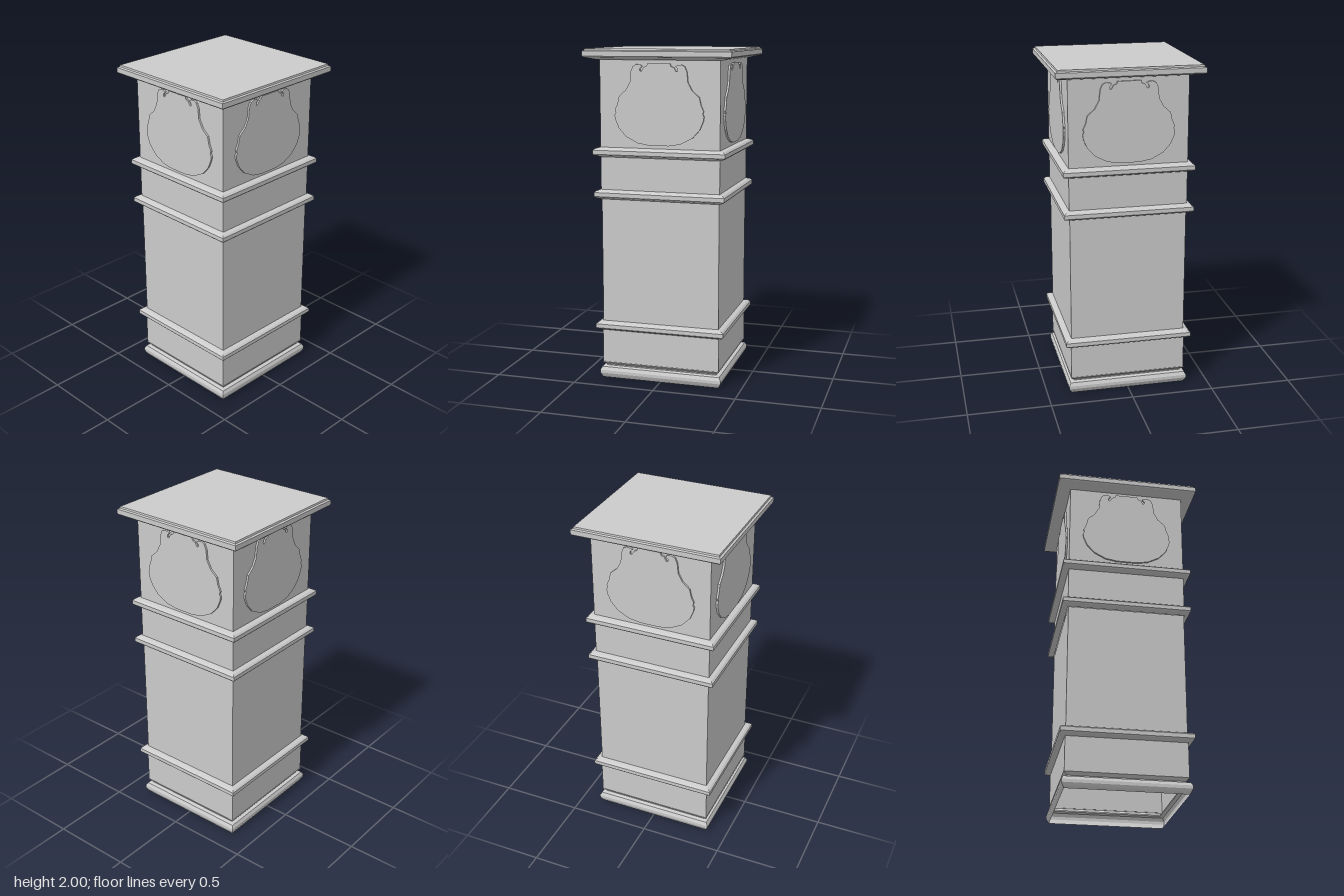
import * as THREE from 'three';

const DEPTH = 1.031; // the pillar is slightly deeper than wide
const WALL = 0.352;
const material = new THREE.MeshStandardMaterial({ color: 0xcccccc, flatShading: true, side: THREE.DoubleSide });

// Four-sided hollow shell from a [halfWidth, y] profile, listed bottom to top
function squareShell(name, profile) {
  const points = profile.map(([w, y]) => new THREE.Vector2(w * Math.SQRT2, y));
  const geometry = new THREE.LatheGeometry(points, 4, Math.PI / 4).toNonIndexed();
  geometry.scale(1, 1, DEPTH);
  geometry.computeVertexNormals();
  const mesh = new THREE.Mesh(geometry, material);
  mesh.name = name;
  return mesh;
}

// Chamfered band running around the shaft
function band(name, y, w) {
  return squareShell(name, [
    [WALL, y], [w - 0.005, y + 0.012], [w, y + 0.018], [w, y + 0.042], [w - 0.012, y + 0.052], [WALL - 0.003, y + 0.058],
  ]);
}

// Raised gourd-shaped panel, half outline mirrored about x = 0
function panelGeometry() {
  const half = [
    [0.068, 1.915], [0.073, 1.9], [0.09, 1.894], [0.104, 1.87], [0.113, 1.872], [0.114, 1.885],
    [0.1, 1.9], [0.112, 1.908], [0.135, 1.91], [0.155, 1.9], [0.168, 1.87], [0.174, 1.81],
    [0.2, 1.762], [0.242, 1.725], [0.252, 1.68], [0.268, 1.645], [0.262, 1.632], [0.27, 1.615],
    [0.266, 1.59], [0.245, 1.54], [0.2, 1.49], [0.13, 1.454], [0.06, 1.442],
  ];
  const mirrored = half.map(([x, y]) => [-x, y]).reverse();
  const shape = new THREE.Shape([...half, ...mirrored].map(([x, y]) => new THREE.Vector2(x, y)));
  return new THREE.ExtrudeGeometry(shape, { depth: 0.011, bevelEnabled: false });
}

export function createModel() {
  const pillar = new THREE.Group();
  pillar.name = 'pillar';

  // Base moulding and recessed neck
  pillar.add(squareShell('baseMoulding', [
    [0.352, 0], [0.36, 0.014], [0.368, 0.03], [0.368, 0.048], [0.358, 0.068], [0.335, 0.073],
    [0.335, 0.08], [WALL + 0.003, 0.097], [WALL + 0.003, 0.1], [WALL, 0.1],
  ]));

  // Shaft sections between the bands
  const sections = [
    ['plinth', 0.1, 0.303], ['shaft', 0.361, 1.112], ['collar', 1.17, 1.365], ['head', 1.423, 1.935],
  ];
  for (const [name, y0, y1] of sections) {
    const w = name === 'shaft' ? WALL - 0.003 : WALL;
    pillar.add(squareShell(name, [[w, y0], [w, y1]]));
  }

  // Bands
  pillar.add(band('lowerBand', 0.303, 0.385));
  pillar.add(band('middleBand', 1.112, 0.386));
  pillar.add(band('upperBand', 1.365, 0.389));

  // Overhanging cap with a closed top
  pillar.add(squareShell('cap', [
    [WALL, 1.935], [0.365, 1.935], [0.425, 1.95], [0.431, 1.956], [0.431, 1.985], [0.42, 1.99], [0.418, 2], [0, 2],
  ]));

  // One raised panel on each side of the head
  const panel = panelGeometry();
  for (let i = 0; i < 4; i++) {
    const mesh = new THREE.Mesh(panel, material);
    const angle = (i * Math.PI) / 2;
    const reach = i % 2 ? WALL : WALL * DEPTH;
    mesh.name = ['frontPanel', 'leftPanel', 'backPanel', 'rightPanel'][i];
    mesh.rotation.y = angle;
    mesh.position.set(Math.sin(angle) * reach, 0, Math.cos(angle) * reach);
    pillar.add(mesh);
  }
  return pillar;
}
